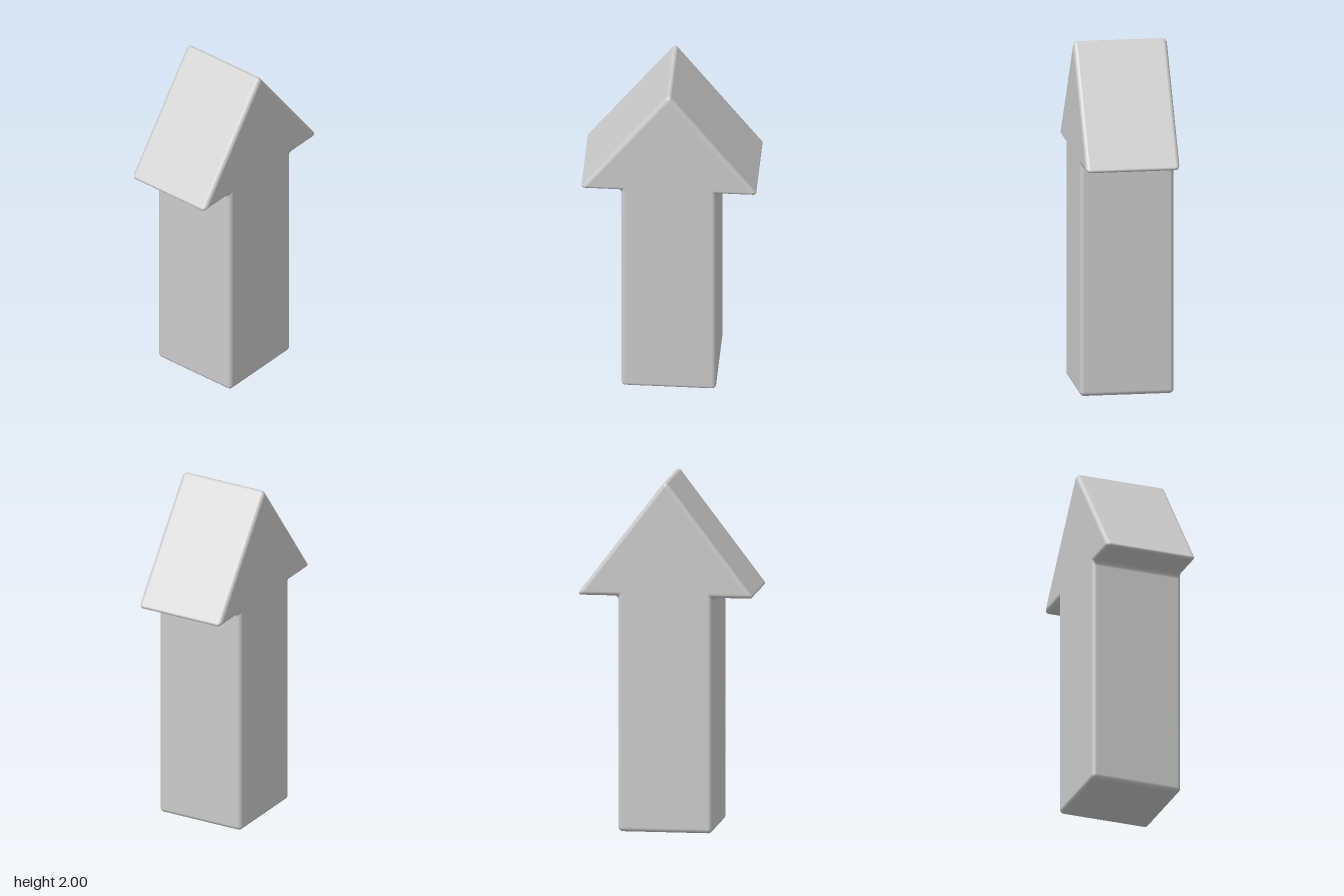
import * as THREE from 'three';

const BEVEL = 0.025;      // bevel width on every edge
const HALF_DEPTH = 0.268;
const STEPS = 6;          // segments per rounded edge

// Sharp arrow outline, counter-clockwise seen from the front
function arrowOutline() {
  const shaft = 0.268, tip = 0.507, base = 1.347, apex = 2.012;
  return [
    [-shaft, 0], [shaft, 0], [shaft, base], [tip, base],
    [0, apex], [-tip, base], [-shaft, base],
  ].map(([x, y]) => new THREE.Vector2(x, y));
}

// Rounds each corner; every sample knows its outer point, cap point and normal
function roundedProfile(corners) {
  const n = corners.length;
  const samples = [];
  corners.forEach((v, i) => {
    const d1 = v.clone().sub(corners[(i + n - 1) % n]).normalize();
    const d2 = corners[(i + 1) % n].clone().sub(v).normalize();
    const n1 = new THREE.Vector2(d1.y, -d1.x);
    const n2 = new THREE.Vector2(d2.y, -d2.x);
    const turn = Math.atan2(d1.cross(d2), d1.dot(d2));
    const radius = BEVEL / Math.tan(turn / 2);   // negative in the inner corners
    const centre = v.clone().addScaledVector(d1, -BEVEL).addScaledVector(n1, -radius);
    const cap = v.clone().addScaledVector(n1.clone().add(n2), -BEVEL / (1 + n1.dot(n2)));
    for (let k = 0; k <= STEPS; k++) {
      const normal = n1.clone().rotateAround(new THREE.Vector2(), turn * k / STEPS);
      samples.push({ cap, normal, outer: centre.clone().addScaledVector(normal, radius) });
    }
  });
  return samples;
}

function beveledPrism(corners) {
  const samples = roundedProfile(corners);
  const count = samples.length;
  const positions = [], normals = [], indices = [];

  // Rings from the front cap over the rounded edges to the back cap
  const rings = 2 * STEPS + 2;
  for (let j = 0; j < rings; j++) {
    const front = j <= STEPS;
    const angle = (Math.PI / 2) * (front ? 1 - j / STEPS : -(j - STEPS - 1) / STEPS);
    const c = Math.cos(angle), s = Math.sin(angle);
    const z = (front ? 1 : -1) * (HALF_DEPTH - BEVEL) + BEVEL * s;
    for (const { cap, outer, normal } of samples) {
      const p = cap.clone().lerp(outer, c);
      positions.push(p.x, p.y, z);
      normals.push(normal.x * c, normal.y * c, s);
    }
  }
  for (let j = 0; j < rings - 1; j++) {
    for (let i = 0; i < count; i++) {
      const i2 = (i + 1) % count;
      const a = j * count + i, b = j * count + i2;
      const d = a + count, e = b + count;
      indices.push(a, d, b, b, d, e);
    }
  }

  // Flat front and back caps
  const capIndex = (k) => k * (STEPS + 1);
  const capPoints = corners.map((_, k) => samples[capIndex(k)].cap);
  const back = (rings - 1) * count;
  for (const face of THREE.ShapeUtils.triangulateShape(capPoints, [])) {
    const [a, b, c] = face.map(capIndex);
    indices.push(a, b, c, back + a, back + c, back + b);
  }

  const geometry = new THREE.BufferGeometry();
  geometry.setAttribute('position', new THREE.Float32BufferAttribute(positions, 3));
  geometry.setAttribute('normal', new THREE.Float32BufferAttribute(normals, 3));
  geometry.setIndex(indices);
  return geometry;
}

export function createModel() {
  const group = new THREE.Group();
  group.name = 'arrowModel';
  const arrow = new THREE.Mesh(
    beveledPrism(arrowOutline()),
    new THREE.MeshStandardMaterial({ color: 0xcccccc }),
  );
  arrow.name = 'arrow';
  group.add(arrow);
  return group;
}
